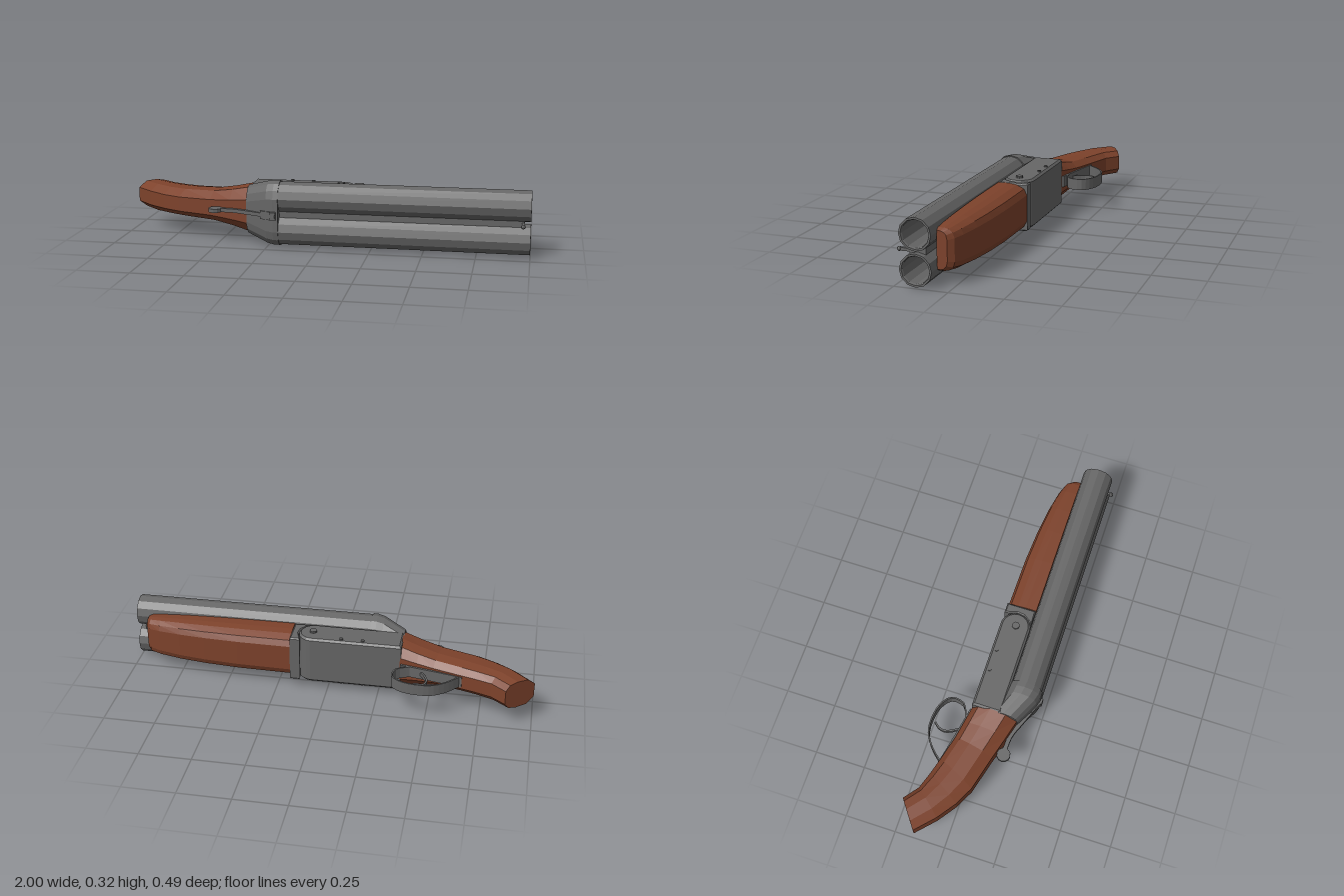
import * as THREE from 'three';

const steel = new THREE.MeshStandardMaterial({ color: 0x666666 });
steel.name = 'steel grey';
const wood = new THREE.MeshStandardMaterial({ color: 0x7d422b });
wood.name = 'walnut brown';
const red = new THREE.MeshStandardMaterial({ color: 0xb00f0f });
red.name = 'shell red';

const MID = 0.16; // middle plane across the width (y)
const BORES = [0.08, 0.24];
const BORE_Z = 0.148;

// Faceted mesh
function part(name, geo, mat) {
  const g = geo.index ? geo.toNonIndexed() : geo;
  g.computeVertexNormals();
  const m = new THREE.Mesh(g, mat);
  m.name = name;
  return m;
}

// Skin over closed rings of [x, y, z], ordered along +x, with capped ends
function loft(rings) {
  const n = rings[0].length;
  const pos = rings.flat(2);
  const idx = [];
  for (let i = 0; i < rings.length - 1; i++) {
    for (let j = 0; j < n; j++) {
      const a = i * n + j, b = i * n + (j + 1) % n;
      idx.push(a, b, b + n, a, b + n, a + n);
    }
  }
  const last = (rings.length - 1) * n;
  for (let j = 1; j < n - 1; j++) {
    idx.push(0, j + 1, j, last, last + j, last + j + 1);
  }
  const g = new THREE.BufferGeometry();
  g.setAttribute('position', new THREE.Float32BufferAttribute(pos, 3));
  g.setIndex(idx);
  return g;
}

// Side profile in (x, z), extruded across the width
function plate(points, width, bevel = 0) {
  const shape = new THREE.Shape(points.map(p => new THREE.Vector2(p[0], p[1])));
  const g = new THREE.ExtrudeGeometry(shape, {
    depth: width - 2 * bevel, bevelEnabled: bevel > 0, bevelSize: bevel,
    bevelThickness: bevel, bevelOffset: -bevel, bevelSegments: 1
  });
  return g.rotateX(Math.PI / 2).translate(0, MID + width / 2 - bevel, 0);
}

// Thin strip of metal following a path in (x, z)
function ribbon(points, thick, width, steps) {
  const curve = new THREE.SplineCurve(points.map(p => new THREE.Vector2(p[0], p[1])));
  const left = [], right = [];
  for (let i = 0; i <= steps; i++) {
    const p = curve.getPoint(i / steps), t = curve.getTangent(i / steps);
    left.push([p.x - t.y * thick / 2, p.y + t.x * thick / 2]);
    right.unshift([p.x + t.y * thick / 2, p.y - t.x * thick / 2]);
  }
  return plate([...left, ...right], width);
}

function box(x0, x1, y0, y1, z0, z1) {
  return new THREE.BoxGeometry(x1 - x0, y1 - y0, z1 - z0)
    .translate((x0 + x1) / 2, (y0 + y1) / 2, (z0 + z1) / 2);
}

export function createModel() {
  const gun = new THREE.Group();
  gun.name = 'doubleBarrelShotgun';

  // Barrels: hollow twelve-sided tubes with a shell at the bottom of each
  BORES.forEach((y, i) => {
    const side = i ? 'left' : 'right';
    const profile = [[0.062, -0.2], [0.062, 0.99], [0.066, 1], [0.075, 1], [0.075, -0.2]]
      .map(p => new THREE.Vector2(p[0], p[1])).reverse();
    const tube = new THREE.LatheGeometry(profile, 12).rotateZ(-Math.PI / 2).translate(0, y, BORE_Z);
    gun.add(part(side + 'Barrel', tube, steel));
    const shell = new THREE.CylinderGeometry(0.06, 0.06, 0.06, 12)
      .rotateZ(-Math.PI / 2).translate(-0.17, y, BORE_Z);
    gun.add(part(side + 'Shell', shell, red));
  });

  // Rib and sights between the barrels
  gun.add(part('barrelRib', box(-0.2, 0.97, 0.142, 0.178, 0.11, 0.185), steel));
  gun.add(part('frontSightPost', box(0.958, 0.972, 0.153, 0.167, 0.18, 0.236), steel));
  const bead = new THREE.IcosahedronGeometry(0.011, 1).translate(0.965, MID, 0.234);
  gun.add(part('frontSightBead', bead, steel));
  for (const s of [-1, 1]) {
    const y = MID + s * 0.013;
    gun.add(part('rearSight', box(-0.228, -0.2, y - 0.006, y + 0.006, 0.215, 0.236), steel));
  }

  // Receiver with a rounded front
  const body = [[-0.36, 0.076], [-0.36, -0.07], [0.085, -0.07]];
  for (let i = 1; i <= 8; i++) {
    const a = -Math.PI / 2 + i * Math.PI / 8;
    body.push([0.08 + 0.07 * Math.cos(a), 0.003 + 0.073 * Math.sin(a)]);
  }
  gun.add(part('receiver', plate(body, 0.24, 0.01), steel));

  // Fore-end iron wrapping the hinge
  const iron = [[0.185, -0.07], [0.185, 0.074], [0.09, 0.074], [0.12, 0.06],
    [0.145, 0.025], [0.15, -0.01], [0.138, -0.045], [0.135, -0.07]];
  gun.add(part('foreEndIron', plate(iron, 0.232, 0.006), steel));

  // Breech: flares from the stock to wrap both barrels
  const breechRing = (x, r, cy, cz, bottom) => {
    const ring = [];
    for (let j = 0; j < 14; j++) {
      const half = j < 7 ? 1 : -1;
      const a = (j < 7 ? -Math.PI / 2 + j * Math.PI / 6 : Math.PI / 2 + (j - 7) * Math.PI / 6);
      ring.push([x, MID + half * cy + r * Math.cos(a), Math.max(bottom, cz + r * Math.sin(a))]);
    }
    return ring;
  };
  gun.add(part('breech', loft([
    breechRing(-0.36, 0.07, 0.05, 0.085, 0.03),
    breechRing(-0.25, 0.077, 0.077, 0.138, 0.05),
    breechRing(-0.215, 0.08, 0.08, 0.145, 0.06),
    breechRing(-0.19, 0.08, 0.08, 0.147, 0.06)
  ]), steel));

  // Stock: ten-sided sections leaning with the grip: [top x, z, bottom x, z, half width]
  const stock = [
    [-1.0, -0.145, -0.87, -0.24, 0.07], [-0.91, -0.06, -0.80, -0.185, 0.072],
    [-0.82, 0.005, -0.72, -0.158, 0.071], [-0.73, 0.05, -0.64, -0.135, 0.072],
    [-0.56, 0.095, -0.52, -0.103, 0.078], [-0.45, 0.127, -0.44, -0.087, 0.095],
    [-0.355, 0.154, -0.355, -0.07, 0.117]
  ].map(([tx, tz, bx, bz, w]) => {
    // Blunt top and bottom with broad flat sides
    const half = [[0.5, -1], [0.88, -0.72], [1, -0.2], [0.95, 0.5], [0.5, 1]];
    const all = [...half, ...half.map(([u, v]) => [-u, v]).reverse()];
    return all.map(([u, v]) => {
      const t = (v + 1) / 2;
      return [bx + (tx - bx) * t, MID + u * w, bz + (tz - bz) * t];
    });
  });
  gun.add(part('stock', loft(stock), wood));

  // Fore-end: boat-shaped grip under the barrels: [x, bottom z, half width]
  const foreEnd = [
    [0.185, -0.068, 0.116], [0.45, -0.064, 0.115], [0.62, -0.053, 0.112],
    [0.75, -0.038, 0.108], [0.86, -0.017, 0.102], [0.915, 0.002, 0.096], [0.935, 0.028, 0.086]
  ].map(([x, b, w]) => {
    const h = 0.076 - b;
    const half = [[0.55, 0], [0.8, 0.1], [0.95, 0.36], [1, 0.62], [1, 1]];
    return [...half, ...half.map(([u, v]) => [-u, v]).reverse()]
      .map(([u, v]) => [x, MID + u * w, b + v * h]);
  });
  gun.add(part('foreEnd', loft(foreEnd), wood));

  // Trigger guard, its strap along the stock, and the trigger
  gun.add(part('triggerGuard', ribbon([[-0.655, -0.125], [-0.6, -0.187], [-0.535, -0.232],
    [-0.465, -0.242], [-0.385, -0.228], [-0.333, -0.185], [-0.342, -0.12], [-0.405, -0.088]],
  0.007, 0.056, 21), steel));
  gun.add(part('guardStrap', ribbon([[-0.66, -0.137], [-0.52, -0.107], [-0.36, -0.076]],
    0.012, 0.056, 6), steel));
  gun.add(part('trigger', ribbon([[-0.468, -0.222], [-0.492, -0.19], [-0.492, -0.15], [-0.462, -0.098]],
    0.009, 0.02, 8), steel));

  // Top lever with a round thumb piece and a wider pivot
  gun.add(part('leverArm', ribbon([[-0.5, 0.137], [-0.42, 0.142], [-0.34, 0.172], [-0.2, 0.228]],
    0.02, 0.018, 10), steel));
  const thumb = new THREE.CylinderGeometry(0.033, 0.033, 0.018, 12).translate(-0.52, MID, 0.139);
  gun.add(part('leverThumbPiece', thumb, steel));
  gun.add(part('leverPivot', plate([[-0.28, 0.19], [-0.2, 0.2], [-0.2, 0.232], [-0.225, 0.232], [-0.28, 0.207]],
    0.04), steel));

  // Pins through the receiver
  for (const [x, z, r, w] of [[0.08, 0.005, 0.018, 0.258], [-0.065, -0.045, 0.009, 0.252], [-0.17, -0.045, 0.009, 0.252]]) {
    const pin = new THREE.CylinderGeometry(r, r, w, 10).translate(x, MID, z);
    gun.add(part(r > 0.01 ? 'hingePin' : 'receiverPin', pin, steel));
  }
  return gun;
}
